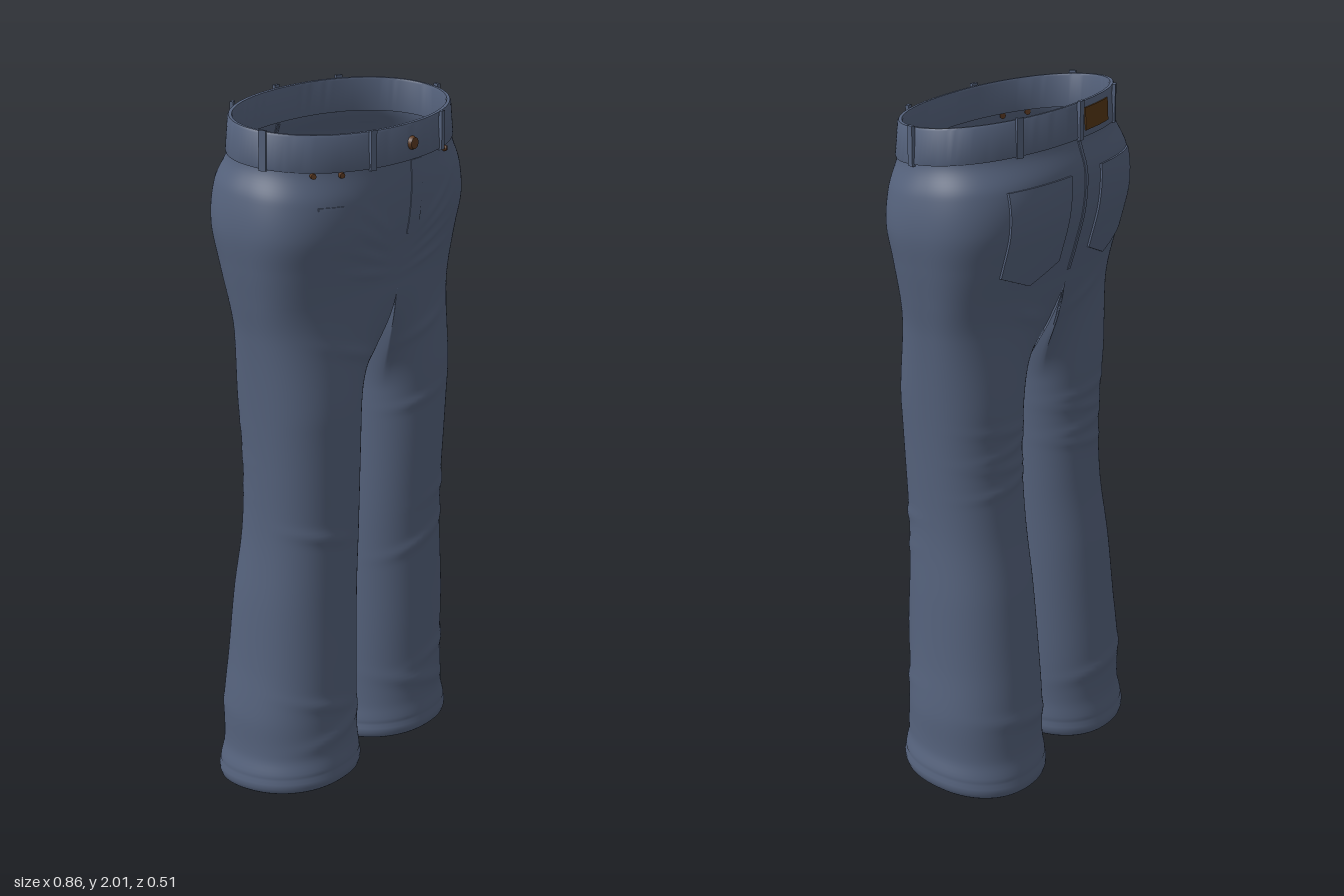
import * as THREE from 'three';
import { mergeVertices, mergeGeometries, toCreasedNormals } from 'three/addons/utils/BufferGeometryUtils.js';

// Silhouette by height: y, half width, front z, back z, inner leg x, squareness
const ROWS = [
  [0.0, 0.41, 0.176, -0.222, 0.022, 2.2], [0.07, 0.416, 0.18, -0.224, 0.018, 2.2],
  [0.13, 0.403, 0.172, -0.214, 0.024, 2.2], [0.25, 0.402, 0.17, -0.213, 0.027, 2.2],
  [0.4, 0.387, 0.17, -0.2, 0.032, 2.2], [0.6, 0.375, 0.17, -0.18, 0.038, 2.2],
  [0.8, 0.362, 0.175, -0.152, 0.042, 2.2], [1.0, 0.365, 0.183, -0.142, 0.046, 2.2],
  [1.2, 0.375, 0.188, -0.15, 0.046, 2.3], [1.4, 0.39, 0.195, -0.165, 0.046, 2.5],
  [1.5, 0.405, 0.2, -0.185, 0.046, 2.6], [1.6, 0.42, 0.215, -0.215, 0.046, 2.6],
  [1.7, 0.43, 0.235, -0.242, 0.046, 2.6], [1.8, 0.419, 0.243, -0.246, 0.046, 2.4],
  [1.88, 0.393, 0.24, -0.222, 0.046, 2.15], [1.99, 0.385, 0.233, -0.215, 0.046, 2.1],
];
const SPLIT = 1.5, BLEND = 1.15, STEPS = 96;
const smooth = THREE.MathUtils.smoothstep, lerp = THREE.MathUtils.lerp, rad = THREE.MathUtils.degToRad;

// Smooth interpolation of the silhouette table
function at(y) {
  const n = ROWS.length;
  let i = 0;
  while (i < n - 2 && y > ROWS[i + 1][0]) i++;
  const p = ROWS[i], q = ROWS[i + 1], o = ROWS[Math.max(i - 1, 0)], r = ROWS[Math.min(i + 2, n - 1)];
  const h = q[0] - p[0], t = THREE.MathUtils.clamp((y - p[0]) / h, 0, 1), t2 = t * t, t3 = t2 * t;
  return p.map((v, k) => {
    const m0 = (q[k] - o[k]) / (q[0] - o[0]) * h, m1 = (r[k] - v) / (r[0] - p[0]) * h;
    return (2 * t3 - 3 * t2 + 1) * v + (t3 - 2 * t2 + t) * m0 + (3 * t2 - 2 * t3) * q[k] + (t3 - t2) * m1;
  });
}
const power = (v, n) => Math.sign(v) * Math.abs(v) ** (2 / n);
// The waist rises to the back
const tilt = (y, z) => y - 0.09 * z * smooth(y, SPLIT, 1.88);

function torsoPoint(y, angle, grow = 0) {
  const [, w, f, b, , n] = at(y), s = Math.sin(angle);
  const x = (w + grow) * power(Math.cos(angle), n);
  const z = ((s > 0 ? f : -b) + grow) * power(s, n);
  return [x, tilt(y, z), z];
}
function legPoint(y, angle, inset) {
  const [, w, f, b, xi, n] = at(y);
  const x = (w + xi) / 2 + ((w - xi) / 2 - inset) * power(Math.cos(angle), n);
  const z = (f + b) / 2 + ((f - b) / 2 - inset) * power(Math.sin(angle), n);
  return [x, y + 0.1 * z * (1 - smooth(y, 0, 0.4)), z];
}
// One leg column: its outer part flows into the hips, its inner part into the crotch saddle
function legSurface(y, deg, inset) {
  const p = legPoint(y, rad(deg), inset);
  if (y <= BLEND) return p;
  const t = (y - BLEND) / (SPLIT - BLEND), soft = 1 - smooth(t, 0, 1);
  const a = deg > 180 ? deg - 360 : deg;
  if (Math.abs(a) <= 150) {
    const q = torsoPoint(y, rad(a * 0.6));
    return [lerp(q[0], p[0], soft), y, lerp(q[2], p[2], soft)];
  }
  const psi = rad(90 - (deg - 150) * 3), c = Math.cos(psi), s = Math.sin(psi);
  const zTop = (s > 0 ? 0.2 : 0.185) * s, yTop = SPLIT - 0.12 * c;
  const w = lerp(soft, Math.sqrt(Math.max(0, 1 - t * t)), c);
  return [p[0] * w, lerp(BLEND, yTop, t), lerp(zTop, p[2], w)];
}

// Grid surface from a point rule f(u index, v index)
function grid(nu, nv, f, flip = false) {
  const pos = [], idx = [];
  for (let j = 0; j <= nv; j++) for (let i = 0; i <= nu; i++) pos.push(...f(i, j));
  for (let j = 0; j < nv; j++) for (let i = 0; i < nu; i++) {
    const a = j * (nu + 1) + i, b = a + 1, c = a + nu + 1, d = c + 1;
    if (flip) idx.push(a, b, c, b, d, c);
    else idx.push(a, c, b, b, c, d);
  }
  const g = new THREE.BufferGeometry();
  g.setAttribute('position', new THREE.Float32BufferAttribute(pos, 3));
  g.setIndex(idx);
  return g;
}

// Cloth folds: x, y, side (1 front, -1 back), slope in degrees, length, width, depth
const FOLDS = [];
for (const m of [1, -1]) {
  for (let k = 0; k < 4; k++) {
    FOLDS.push([m * 0.13, 1.56 + k * 0.05, 1, m * (12 + k * 9), 0.09, 0.011, 0.005]);
    FOLDS.push([m * 0.2, 0.94 + k * 0.055, -1, m * (k % 2 ? 8 : -8), 0.11, 0.014, 0.006]);
  }
  FOLDS.push([m * 0.16, 1.34, 1, m * 18, 0.1, 0.018, 0.006], [m * 0.13, 1.42, -1, m * 22, 0.09, 0.018, 0.005]);
  FOLDS.push([m * 0.2, 0.2, 1, m * -14, 0.13, 0.02, 0.008], [m * 0.26, 0.29, 1, m * 16, 0.1, 0.018, 0.006]);
  FOLDS.push([m * 0.2, 0.22, -1, m * 10, 0.14, 0.02, 0.007], [m * 0.28, 0.82, 1, m * 14, 0.09, 0.018, 0.006]);
}
FOLDS.push([0.2, 0.68, 1, 22, 0.13, 0.018, 0.007], [0.3, 0.45, 1, 82, 0.18, 0.02, 0.007]);
FOLDS.push([0.16, 1.12, 1, 15, 0.09, 0.016, 0.005]);

function addFolds(g) {
  const p = g.attributes.position, n = g.attributes.normal;
  for (let i = 0; i < p.count; i++) {
    const x = p.getX(i), y = p.getY(i);
    let d = 0;
    for (const [fx, fy, side, slope, len, wid, amp] of FOLDS) {
      const c = Math.cos(rad(slope)), s = Math.sin(rad(slope));
      const u = (x - fx) * c + (y - fy) * s, v = (y - fy) * c - (x - fx) * s;
      d += amp * Math.max(0, n.getZ(i) * side) * Math.exp(-((u / len) ** 2) - (v / wid) ** 2);
    }
    if (y < 0.1) d = 0;
    p.setXYZ(i, x + n.getX(i) * d, y + n.getY(i) * d, p.getZ(i) + n.getZ(i) * d);
  }
  g.computeVertexNormals();
}

// Thin cloth plate that follows the hips; edges are bevelled down to the cloth
function plate(side, x0, x1, y0, y1, lift, drop = 0, base = 0) {
  const nu = 16, nv = 14, inner = (k, n) => THREE.MathUtils.clamp((k - 1) / (n - 2), 0, 1);
  const g = grid(nu, nv, (i, j) => {
    const u = inner(i, nu), v = inner(j, nv), edge = i === 0 || j === 0 || i === nu || j === nv;
    const x = lerp(x0, x1, u), y = lerp(y0 - drop * (1 - Math.abs(2 * u - 1)), y1, v);
    const [, w, f, b, , n] = at(y);
    const depth = (side > 0 ? f : -b) * (1 - Math.abs(x / w) ** n) ** (1 / n);
    const z = side * (depth + base + (edge ? -0.004 : lift));
    return [x, tilt(y, z), z];
  }, side > 0);
  return toCreasedNormals(g, 0.6);
}

export function createModel() {
  const group = new THREE.Group();
  const material = (name, color, side = THREE.FrontSide) => {
    const m = new THREE.MeshStandardMaterial({ color, side });
    m.name = name;
    return m;
  };
  const denim = material('denim blue', 0x55627c, THREE.DoubleSide);
  const leather = material('brown leather', 0x553616, THREE.DoubleSide);
  const copper = material('dark copper', 0x5c3a22);
  const add = (name, geometry, mat) => {
    const m = new THREE.Mesh(geometry, mat);
    m.name = name;
    group.add(m);
    return m;
  };

  // Legs and hips in one seamless cloth, starting inside the turned hem
  const legRows = [[0.1, 0.014], [0.04, 0.014], [0.025, 0.01], [0.022, 0.005], [0.027, 0.0], [0.04, -0.003], [0.055, -0.003], [0.066, 0.002]];
  for (let k = 0; k <= 130; k++) legRows.push([lerp(0.075, SPLIT, k / 130), 0]);
  const leg = (m) => grid(STEPS, legRows.length - 1, (i, j) => {
    const [x, y, z] = legSurface(legRows[j][0], (i % STEPS) * 360 / STEPS, legRows[j][1]);
    return [m * x, y, z];
  }, m < 0);
  const hips = grid(160, 40, (i, j) => torsoPoint(lerp(SPLIT, 1.89, j / 40), (i % 160) / 80 * Math.PI));
  const cloth = mergeVertices(mergeGeometries([leg(1), leg(-1), hips]), 1e-4);
  cloth.computeVertexNormals();
  addFolds(cloth);
  add('trouserCloth', cloth, denim);

  // Waistband: closed profile swept around the waist
  const profile = [[1.882, -0.006], [1.882, 0.004], [1.887, 0.006], [1.974, 0.006], [1.98, 0.003], [1.98, -0.006], [1.974, -0.009], [1.882, -0.009], [1.882, -0.006]];
  const band = grid(128, profile.length - 1, (i, j) => torsoPoint(profile[j][0], (i % 128) / 64 * Math.PI, profile[j][1]));
  add('waistband', toCreasedNormals(band, 0.7), denim);

  // Belt loops
  for (const deg of [10, 68, 112, 170, 235, 270, 305]) {
    const [x, y, z] = torsoPoint(1.932, rad(deg), 0.01);
    const loop = add('beltLoop', new THREE.BoxGeometry(0.02, 0.108, 0.01), denim);
    loop.position.set(x, y, z);
    loop.rotation.y = Math.atan2(x / 0.152, z / 0.053);
  }

  // Back pockets, seams and fly
  for (const m of [1, -1]) {
    add('backPocket', plate(-1, ...(m > 0 ? [0.075, 0.3] : [-0.3, -0.075]), 1.575, 1.8, 0.006, 0.045), denim);
  }
  add('backSeam', plate(-1, -0.006, 0.006, 1.53, 1.875, 0.003), denim);
  add('fly', plate(1, 0, 0.05, 1.66, 1.88, 0.002, 0.01), denim);
  add('coinPocketEdge', plate(1, -0.325, -0.255, 1.785, 1.793, 0.003), denim);

  // Leather patch on the back of the waistband
  add('leatherPatch', plate(-1, -0.168, -0.025, 1.9, 1.962, 0.005, 0, 0.006), leather);

  // Waist button and pocket rivets
  const stud = (name, x, y, r, base) => {
    const [, w, f, , , n] = at(y);
    const z = f * (1 - Math.abs(x / w) ** n) ** (1 / n) + base;
    const s = add(name, new THREE.CylinderGeometry(r * 0.8, r, 0.014, 20), copper);
    s.position.set(x, tilt(y, z), z);
    s.rotation.set(Math.PI / 2, 0, -x * 2, 'YXZ');
    s.rotation.y = x * 2;
    s.rotation.z = 0;
  };
  stud('waistButton', 0, 1.928, 0.02, 0.009);
  for (const x of [-0.318, -0.25, 0.185]) stud('pocketRivet', x, 1.875, 0.009, 0.004);
  return group;
}
